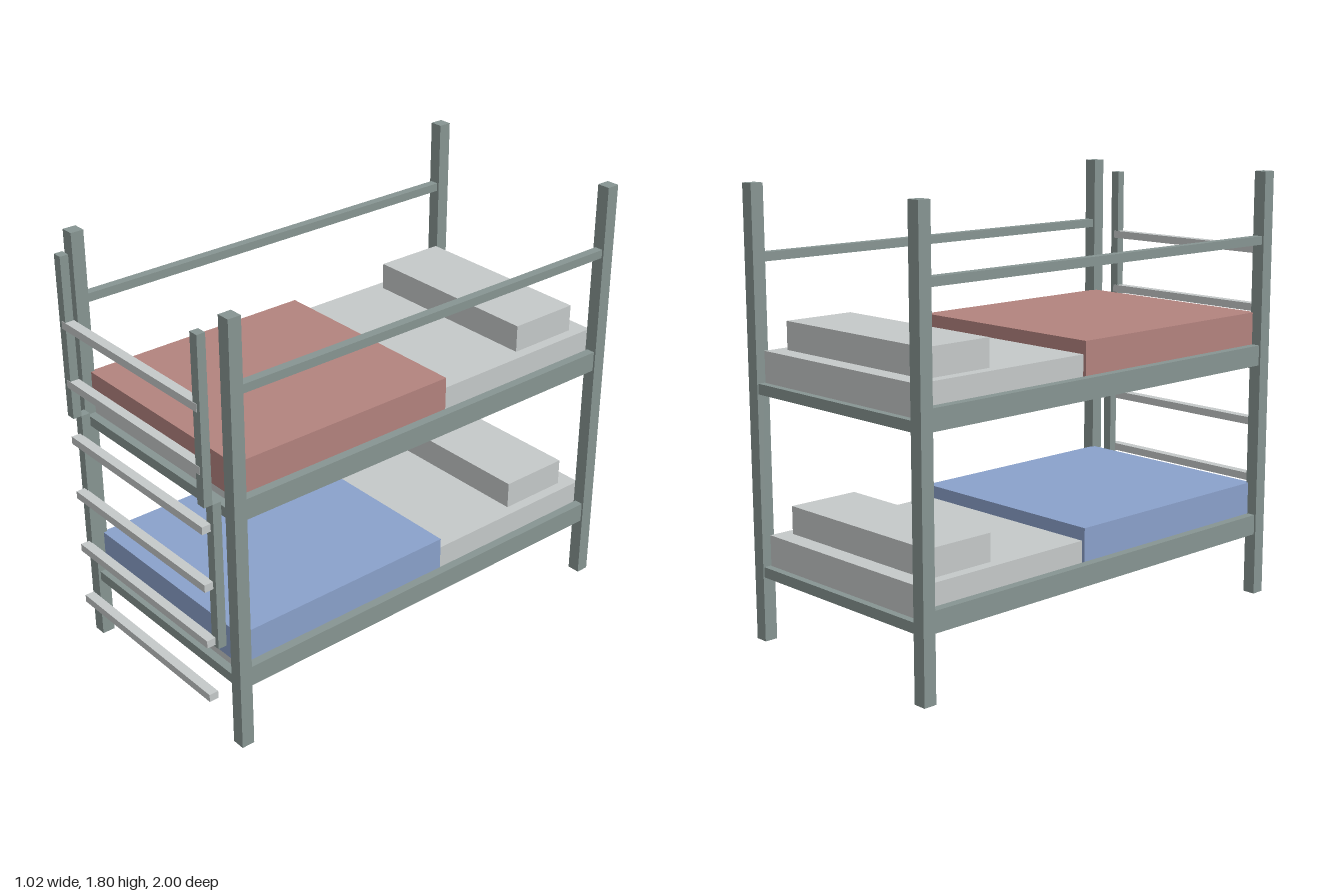
import * as THREE from 'three';

const material = (name, color) => {
  const m = new THREE.MeshStandardMaterial({ color });
  m.name = name;
  return m;
};

export function createModel() {
  const frame = material('grey green frame', 0x879592);
  const linen = material('pale grey linen', 0xc5c9c9);
  const red = material('dusty red blanket', 0xb3837e);
  const blue = material('soft blue blanket', 0x8aa1cb);

  const model = new THREE.Group();
  model.name = 'bunkBed';

  // Box given by its extents along each axis
  const box = (parent, name, mat, [x0, x1], [y0, y1], [z0, z1]) => {
    const mesh = new THREE.Mesh(new THREE.BoxGeometry(x1 - x0, y1 - y0, z1 - z0), mat);
    mesh.position.set((x0 + x1) / 2, (y0 + y1) / 2, (z0 + z1) / 2);
    mesh.name = name;
    parent.add(mesh);
  };
  // The same box on both sides of the model
  const pair = (parent, name, mat, [x0, x1], y, z) => {
    box(parent, name + 'Left', mat, [x0, x1], y, z);
    box(parent, name + 'Right', mat, [-x1, -x0], y, z);
  };

  // Corner posts and top guard rails
  pair(model, 'frontPost', frame, [0.455, 0.51], [0, 1.805], [0.86, 0.915]);
  pair(model, 'backPost', frame, [0.455, 0.51], [0, 1.805], [-1, -0.945]);
  pair(model, 'guardRail', frame, [0.465, 0.502], [1.505, 1.54], [-0.95, 0.865]);

  // One bunk: base, side rails, mattress, pillow and blanket
  const addBunk = (name, y, blanket) => {
    const bunk = new THREE.Group();
    bunk.name = name;
    bunk.position.y = y;
    box(bunk, 'base', frame, [-0.502, 0.502], [0, 0.042], [-0.995, 0.905]);
    pair(bunk, 'sideRail', frame, [0.465, 0.502], [0.042, 0.085], [-0.95, 0.865]);
    box(bunk, 'mattress', linen, [-0.45, 0.45], [0.042, 0.167], [-0.965, 0.87]);
    box(bunk, 'pillow', linen, [-0.405, 0.405], [0.167, 0.28], [-0.89, -0.582]);
    box(bunk, 'blanket', blanket, [-0.464, 0.464], [0.077, 0.22], [-0.14, 0.875]);
    model.add(bunk);
  };
  addBunk('lowerBunk', 0.264, blue);
  addBunk('upperBunk', 0.998, red);

  // Ladder with two overlapping rail sections and six rungs
  const ladder = new THREE.Group();
  ladder.name = 'ladder';
  pair(ladder, 'upperLadderRail', frame, [0.405, 0.445], [1.075, 1.75], [0.962, 0.998]);
  pair(ladder, 'lowerLadderRail', frame, [0.405, 0.445], [0.45, 1.075], [0.925, 0.962]);
  for (let i = 0; i < 6; i++) {
    const y = 0.23 + i * 0.2475;
    box(ladder, 'rung' + (i + 1), linen, [-0.428, 0.428], [y - 0.016, y + 0.016], [0.96, 1]);
  }
  model.add(ladder);

  return model;
}
